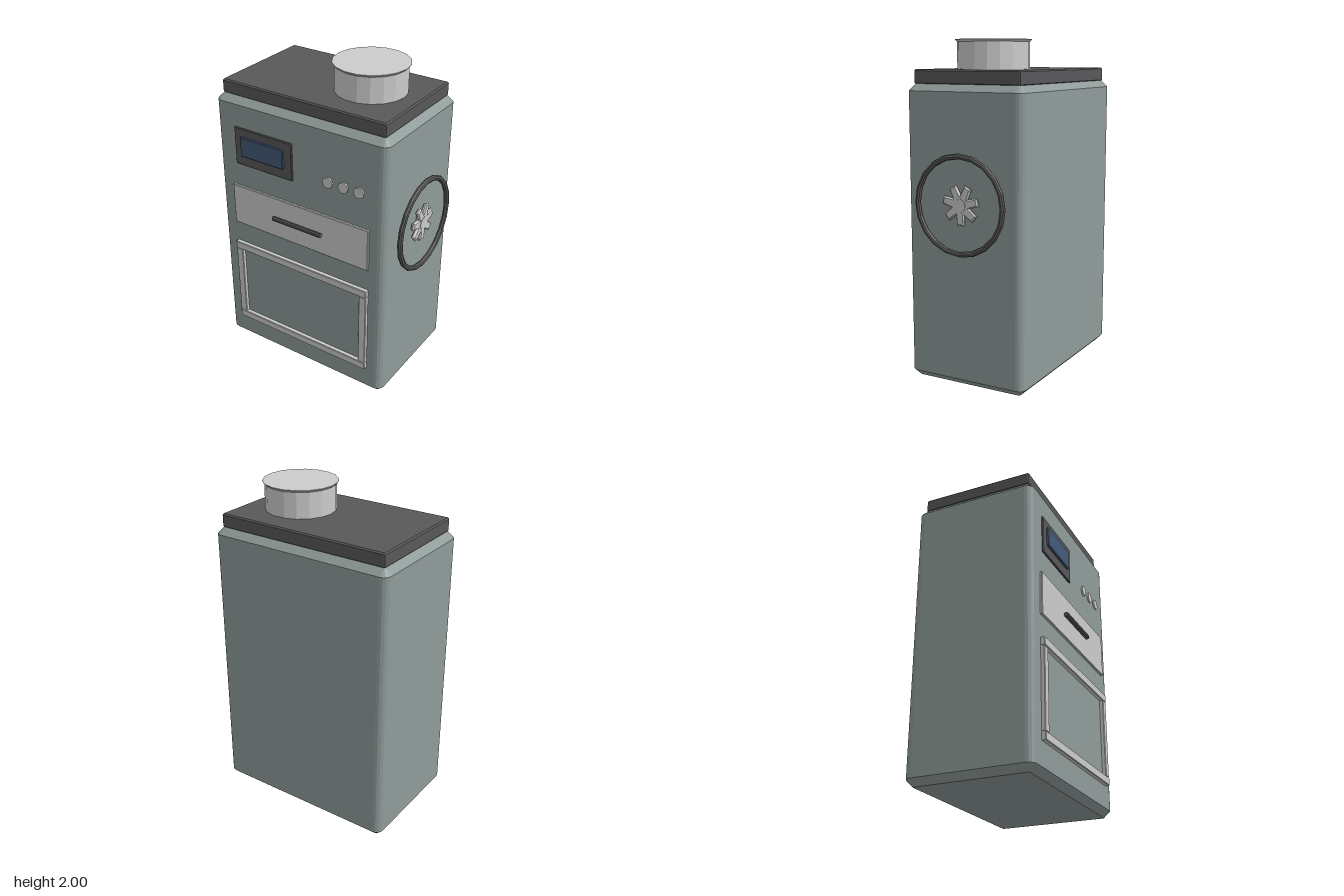
import * as THREE from 'three';

const mat = (color) => new THREE.MeshStandardMaterial({ color, flatShading: true });

export function createModel() {
  const model = new THREE.Group();
  const sage = mat(0x8f9c9a), dark = mat(0x58585a), light = mat(0xcccccc), blue = mat(0x435a78);

  const add = (name, geometry, material, x = 0, y = 0, z = 0) => {
    const mesh = new THREE.Mesh(geometry, material);
    mesh.name = name;
    mesh.position.set(x, y, z);
    model.add(mesh);
    return mesh;
  };

  // Block between two corners with corner radius r and edge chamfer c, extruded along z
  const block = (w, h, d, r, c, segments) => {
    const s = new THREE.Shape(), a = w / 2, b = h / 2;
    s.absarc(a - r, b - r, r, 0, Math.PI / 2);
    s.absarc(r - a, b - r, r, Math.PI / 2, Math.PI);
    s.absarc(r - a, r - b, r, Math.PI, Math.PI * 1.5);
    s.absarc(a - r, r - b, r, Math.PI * 1.5, Math.PI * 2);
    return new THREE.ExtrudeGeometry(s, {
      depth: d - 2 * c, curveSegments: segments, bevelEnabled: true,
      bevelThickness: c, bevelSize: c, bevelOffset: -c, bevelSegments: 1,
    }).translate(0, 0, c - d / 2);
  };
  // Upright block standing on y0
  const upright = (name, w, h, d, r, c, seg, material, x, y0, z) =>
    add(name, block(w, d, h, r, c, seg).rotateX(-Math.PI / 2), material, x, y0 + h / 2, z);
  // Panel on the front face, given by its edges
  const panel = (name, x0, x1, y0, y1, z1, material) => {
    const z0 = 0.34;
    return add(name, block(x1 - x0, y1 - y0, z1 - z0, 0.005, 0.004, 1), material,
      (x0 + x1) / 2, (y0 + y1) / 2, (z0 + z1) / 2);
  };

  // Cabinet and lid
  upright('body', 1.18, 1.75, 0.765, 0.048, 0.04, 2, sage, -0.03, 0, -0.0225);
  upright('lid', 1.11, 0.085, 0.695, 0.01, 0.008, 1, dark, -0.03, 1.745, -0.0225);

  // Closed flue with a thin flared lip
  const flue = [[0, 1.82], [0.2115, 1.82], [0.2115, 1.985], [0.2235, 1.997], [0.2235, 2], [0, 2]]
    .map(([r, y]) => new THREE.Vector2(r, y));
  add('flue', new THREE.LatheGeometry(flue, 18).rotateY(Math.PI / 2), light, 0.214, 0, -0.022);

  // Display and control buttons
  panel('displayFrame', -0.48, -0.065, 1.33, 1.57, 0.37, dark);
  panel('displayScreen', -0.43, -0.12, 1.395, 1.52, 0.384, blue);
  for (const x of [0.18, 0.284, 0.388]) {
    add('button', new THREE.CylinderGeometry(0.033, 0.033, 0.03, 16).rotateX(Math.PI / 2), light, x, 1.397, 0.355);
  }

  // Drawer with bar handle
  panel('drawer', -0.515, 0.458, 0.91, 1.18, 0.374, light);
  add('drawerHandle', new THREE.CylinderGeometry(0.015, 0.015, 0.345, 10).rotateZ(Math.PI / 2), dark, -0.0275, 1.047, 0.39);

  // Door frame of four bars
  panel('doorFrameTop', -0.515, 0.458, 0.72, 0.77, 0.386, light);
  panel('doorFrameBottom', -0.515, 0.458, 0.18, 0.23, 0.386, light);
  panel('doorFrameRight', -0.515, -0.465, 0.23, 0.72, 0.384, light);
  panel('doorFrameLeft', 0.408, 0.458, 0.23, 0.72, 0.384, light);

  // Side wheel: ring around a seven-toothed hub
  add('wheelRing', new THREE.TorusGeometry(0.279, 0.0165, 8, 20).rotateY(Math.PI / 2), dark, 0.598, 1.08, -0.02);
  const star = new THREE.Shape(), points = [];
  for (let i = 0; i < 7; i++) {
    const a = -Math.PI / 2 + (i * Math.PI * 2) / 7;
    for (const [r, da] of [[0.118, -0.2], [0.118, 0.2], [0.06, Math.PI / 7]]) {
      points.push(new THREE.Vector2(r * Math.cos(a + da), r * Math.sin(a + da)));
    }
  }
  star.setFromPoints(points);
  add('wheelHub', new THREE.ExtrudeGeometry(star, {
    depth: 0.008, bevelThickness: 0.008, bevelSize: 0.008, bevelOffset: -0.008, bevelSegments: 1,
  }).rotateY(Math.PI / 2), light, 0.578, 1.08, -0.02);
  add('wheelHubCap', new THREE.CylinderGeometry(0.04, 0.05, 0.04, 7).rotateZ(-Math.PI / 2), light, 0.577, 1.08, -0.02);

  return model;
}
